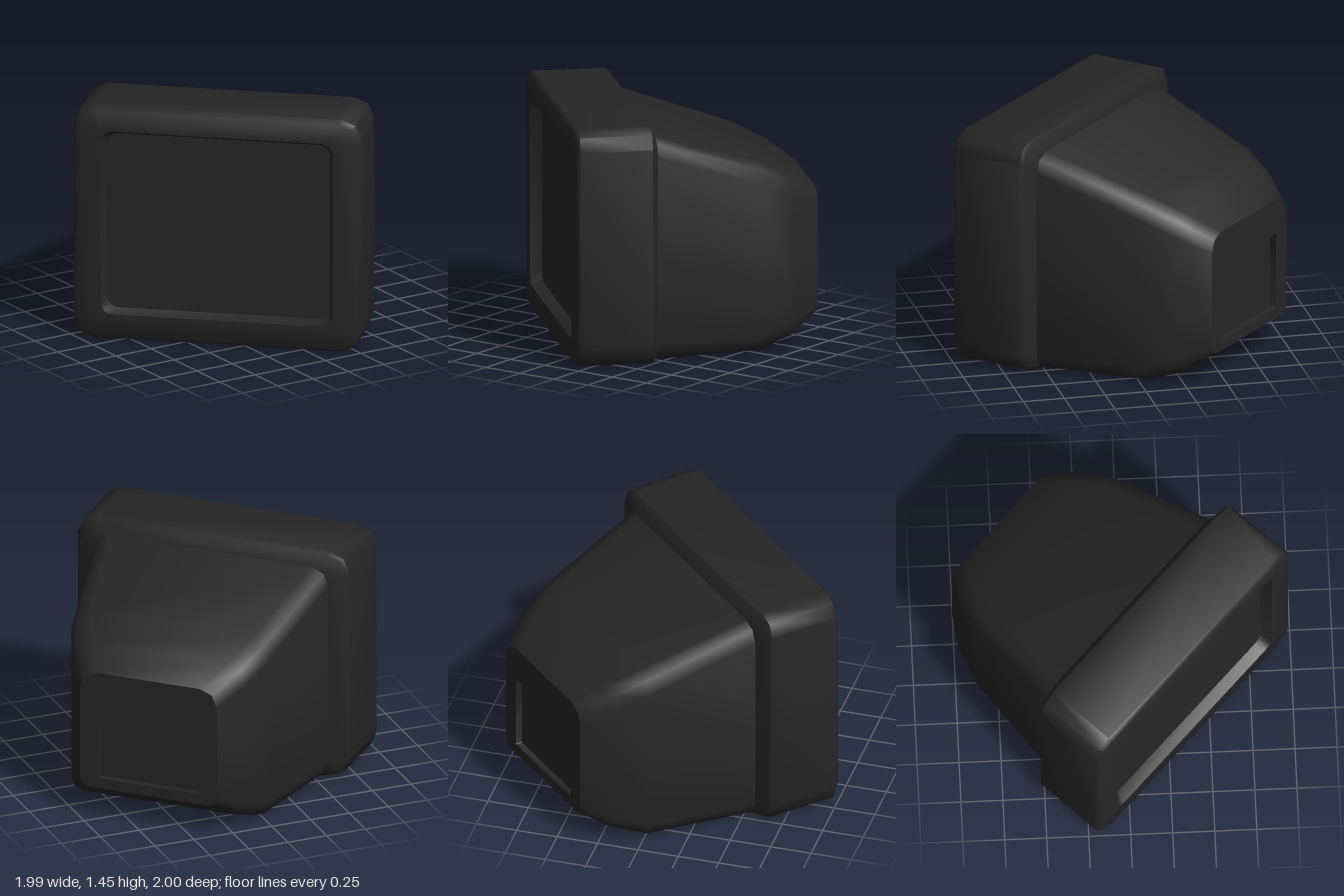
import * as THREE from 'three';
import { toCreasedNormals } from 'three/addons/utils/BufferGeometryUtils.js';

// Rounded rectangle cross-section, counter-clockwise seen from the front
function ring([z, half, bottom, top, rTop, rBottom]) {
  const corners = [
    [half - rBottom, bottom + rBottom, rBottom, -90],
    [half - rTop, top - rTop, rTop, 0],
    [-half + rTop, top - rTop, rTop, 90],
    [-half + rBottom, bottom + rBottom, rBottom, 180],
  ];
  const points = [];
  for (const [x, y, r, start] of corners) {
    for (let k = 0; k <= 2; k++) {
      const a = THREE.MathUtils.degToRad(start + k * 45);
      points.push([x + r * Math.cos(a), y + r * Math.sin(a), z]);
    }
  }
  return points;
}

// Skin through sections running from front to back, optionally closed at an end
function loft(name, sections, material, cap = '') {
  const positions = [];
  const rings = sections.map(ring);
  const n = rings[0].length;
  const tri = (...p) => p.forEach((v) => positions.push(...v));
  for (let i = 0; i < rings.length - 1; i++) {
    for (let j = 0; j < n; j++) {
      const k = (j + 1) % n;
      const a = rings[i], b = rings[i + 1];
      tri(a[j], b[j], a[k]);
      tri(a[k], b[j], b[k]);
    }
  }
  if (cap) {
    const front = cap === 'front';
    const r = front ? rings[0] : rings[rings.length - 1];
    const [z, , bottom, top] = front ? sections[0] : sections[sections.length - 1];
    const centre = [0, (bottom + top) / 2, z];
    for (let j = 0; j < n; j++) {
      const k = (j + 1) % n;
      if (front) tri(centre, r[j], r[k]);
      else tri(centre, r[k], r[j]);
    }
  }
  const geometry = new THREE.BufferGeometry();
  geometry.setAttribute('position', new THREE.Float32BufferAttribute(positions, 3));
  const mesh = new THREE.Mesh(toCreasedNormals(geometry, THREE.MathUtils.degToRad(50)), material);
  mesh.name = name;
  return mesh;
}

export function createModel() {
  const plastic = new THREE.MeshStandardMaterial({ color: 0x262626 });
  const model = new THREE.Group();
  model.name = 'monitor';

  // Sections: z, half width, bottom, top, top corner radius, bottom corner radius
  const glass = [0.495, 0.675, 0.18, 1.27, 0.06, 0.06];
  const neck = [0.05, 0.75, 0, 1.36, 0.11, 0.1];
  const back = [-0.973, 0.436, 0.19, 0.94, 0.11, 0.05];
  const slot = [-0.973, 0.32, 0.255, 0.725, 0.005, 0.005];
  const slotFloor = [-0.933, ...slot.slice(1)];

  model.add(loft('screen', [glass], plastic, 'front'));

  // Frame around the screen, with its bevelled rims
  model.add(loft('bezel', [
    glass,
    [0.563, 0.7, 0.155, 1.3, 0.06, 0.06],
    [0.563, 0.845, 0.025, 1.425, 0.11, 0.11],
    [0.538, 0.87, 0, 1.45, 0.12, 0.12],
    [0.1, 0.865, 0, 1.45, 0.12, 0.12],
    [0.083, 0.845, 0, 1.435, 0.12, 0.12],
    neck,
  ], plastic));

  // Tapering tube housing
  model.add(loft('housing', [
    neck,
    [-0.61, 0.632, 0, 1.15, 0.12, 0.1],
    [-0.81, 0.555, 0.08, 1.055, 0.12, 0.08],
    back,
  ], plastic));

  // Rear face with its shallow connector recess
  model.add(loft('rearFace', [back, slot], plastic));
  model.add(loft('rearRecess', [slot, slotFloor], plastic, 'back'));

  // The whole set stands turned to its right
  model.rotation.y = THREE.MathUtils.degToRad(-43.6);
  const group = new THREE.Group();
  group.name = 'turnedMonitor';
  group.add(model);
  return group;
}
